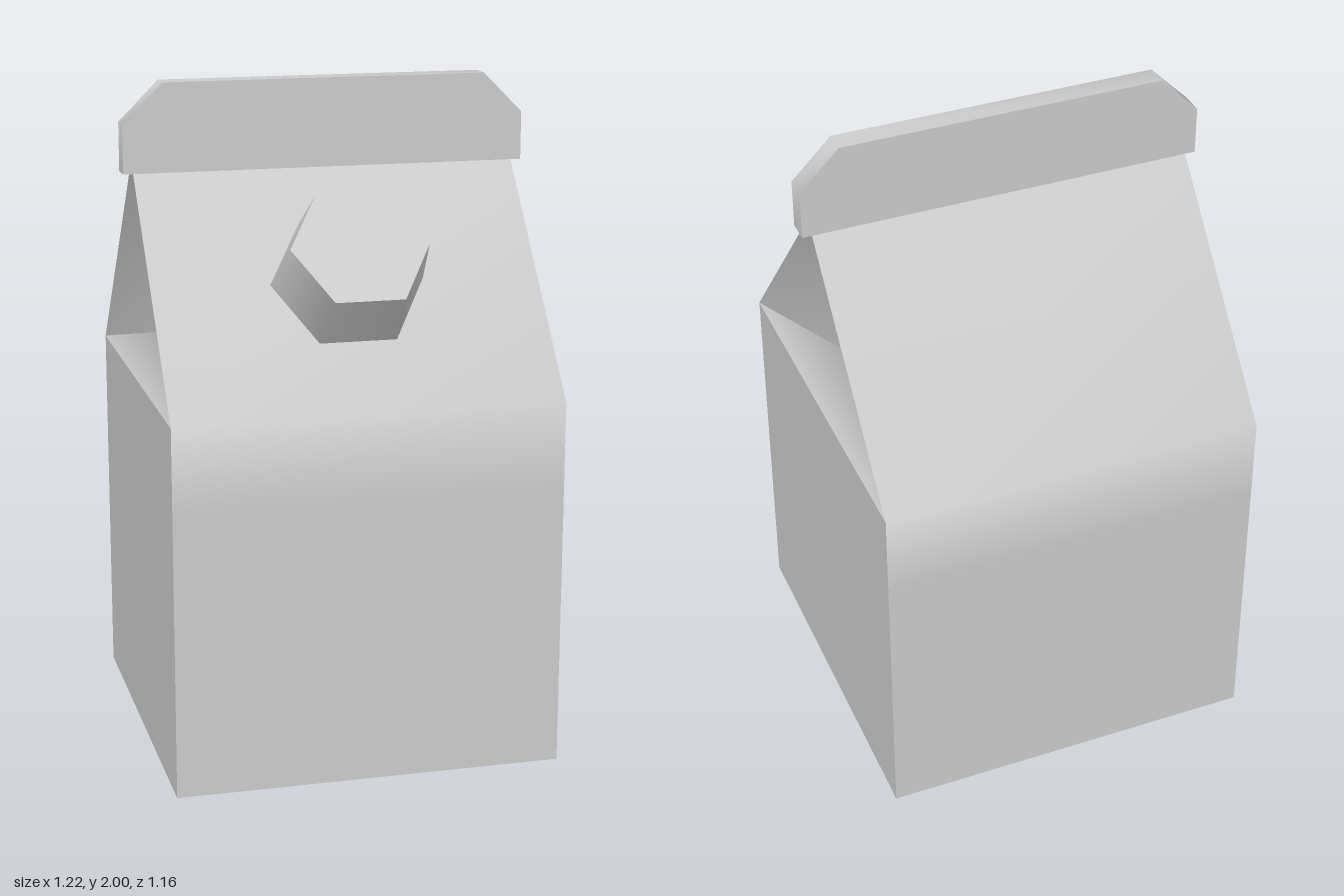
import * as THREE from 'three';
import { toCreasedNormals } from 'three/addons/utils/BufferGeometryUtils.js';

const HALF = 0.58;      // half width of the square carton
const SHOULDER = 1.11;  // height where the roof starts
const RIDGE = 1.77;     // roof ridge, hidden inside the top seal

function indexed(points, index) {
  const g = new THREE.BufferGeometry();
  g.setAttribute('position', new THREE.Float32BufferAttribute(points.flat(), 3));
  g.setIndex(index);
  g.computeVertexNormals();
  return g;
}

// wall that bends softly into the sloping roof
function wallAndRoof() {
  const rows = [[0, HALF], [0.86, HALF], [SHOULDER, HALF], [RIDGE, 0]];
  const points = [], index = [];
  rows.forEach(([y, z], r) => {
    points.push([-HALF, y, z], [HALF, y, z]);
    if (r < rows.length - 1) {
      const a = r * 2;
      index.push(a, a + 1, a + 3, a, a + 3, a + 2);
    }
  });
  return indexed(points, index);
}

// gable end folded inwards; the shared inner point softens the folds
function foldedGable() {
  const front = [HALF, SHOULDER, HALF], back = [HALF, SHOULDER, -HALF];
  const inner = [0.45, 1.25, 0], ridge = [HALF, RIDGE, 0];
  return indexed([front, back, front, back, inner, ridge],
    [0, 1, 4, 4, 5, 2, 4, 3, 5]);
}

export function createModel() {
  const model = new THREE.Group();
  model.name = 'carton';
  const card = new THREE.MeshStandardMaterial({ color: 0xcccccc });
  card.name = 'light grey card';

  const add = (name, geometry, parent = model) => {
    const mesh = new THREE.Mesh(geometry, card);
    mesh.name = name;
    parent.add(mesh);
    return mesh;
  };

  // two opposite halves of the body
  const wall = wallAndRoof(), gable = foldedGable();
  const side = new THREE.PlaneGeometry(HALF * 2, SHOULDER)
    .rotateY(Math.PI / 2).translate(HALF, SHOULDER / 2, 0);
  for (const [name, turn] of [['frontLeftBody', 0], ['backRightBody', Math.PI]]) {
    const half = new THREE.Group();
    half.name = name;
    half.rotation.y = turn;
    add('wallAndRoof', wall, half);
    add('sideWall', side, half);
    add('foldedGable', gable, half);
    model.add(half);
  }
  add('base', new THREE.PlaneGeometry(HALF * 2, HALF * 2).rotateX(Math.PI / 2));

  // top seal with cut corners
  const outline = new THREE.Shape([
    [-0.61, 1.735], [0.61, 1.735], [0.61, 1.88], [0.49, 2],
    [-0.49, 2], [-0.61, 1.88],
  ].map(([x, y]) => new THREE.Vector2(x, y)));
  const seal = new THREE.ExtrudeGeometry(outline, { depth: 0.07, bevelEnabled: false });
  seal.translate(0, 0, -0.035);
  add('topSeal', toCreasedNormals(seal, 1));

  // six-sided tapered cap standing square on the front roof
  const cap = add('cap', new THREE.CylinderGeometry(0.205, 0.23, 0.2, 6, 1, false, Math.PI / 6));
  cap.position.set(0, 1.503, 0.365);
  cap.rotation.x = Math.atan2(RIDGE - SHOULDER, HALF);

  return model;
}
